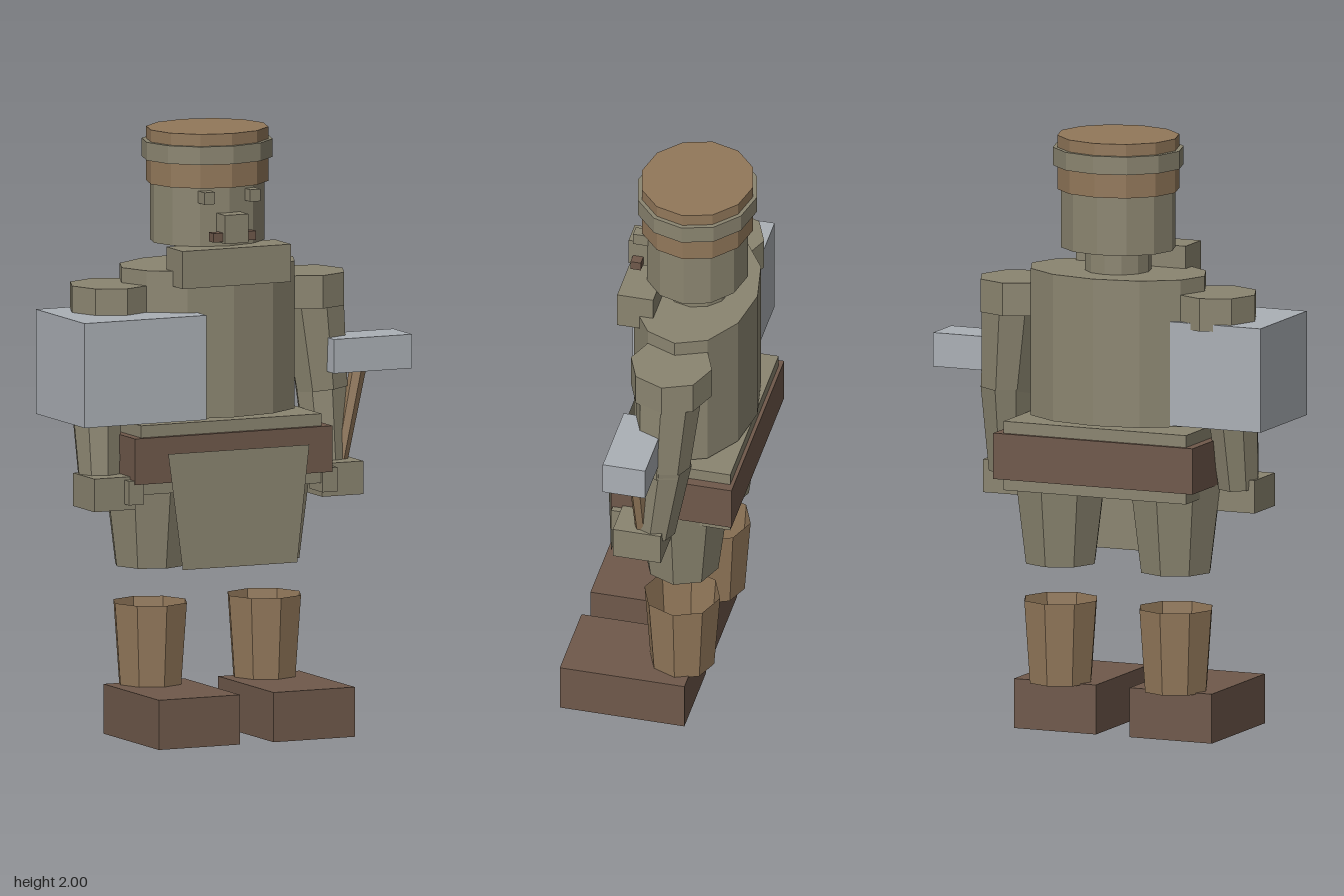
import * as THREE from 'three';

const CX = -0.053, CZ = -0.088; // body axis

export function createModel() {
  const group = new THREE.Group();
  const mat = (name, color) => {
    const m = new THREE.MeshStandardMaterial({ color, flatShading: true, side: THREE.DoubleSide });
    m.name = name;
    return m;
  };
  const olive = mat('olive', 0x8b8570);
  const tan = mat('tan', 0x92785a);
  const brown = mat('darkBrown', 0x6f594b);
  const steel = mat('steel', 0xabb0b6);

  const add = (name, geo, material) => {
    const mesh = new THREE.Mesh(geo, material);
    mesh.name = name;
    group.add(mesh);
    return mesh;
  };
  // Box given by its limits
  const box = (name, m, x0, x1, y0, y1, z0, z1) =>
    add(name, new THREE.BoxGeometry(x1 - x0, y1 - y0, z1 - z0), m)
      .position.set((x0 + x1) / 2, (y0 + y1) / 2, (z0 + z1) / 2);
  // Oval upright drum on the body axis
  const drum = (name, m, rx, rz, y0, y1) => {
    const mesh = add(name, new THREE.CylinderGeometry(rx, rx, y1 - y0, 12), m);
    mesh.scale.z = rz / rx;
    mesh.position.set(CX, (y0 + y1) / 2, CZ);
  };
  // Tapered limb from point a (top) to point b (bottom)
  const limb = (name, m, a, b, ra, rb, open = true, sides = 8) => {
    const A = new THREE.Vector3(...a), B = new THREE.Vector3(...b);
    const mesh = add(name, new THREE.CylinderGeometry(ra, rb, A.distanceTo(B), sides, 1, open), m);
    mesh.position.copy(A).add(B).multiplyScalar(0.5);
    mesh.quaternion.setFromUnitVectors(new THREE.Vector3(0, 1, 0), A.sub(B).normalize());
  };

  // Head and hat
  drum('hat', tan, 0.205, 0.188, 1.82, 2.0);
  drum('hatBand', olive, 0.22, 0.201, 1.9, 1.96);
  drum('head', olive, 0.194, 0.17, 1.625, 1.82);
  drum('neck', olive, 0.11, 0.11, 1.5, 1.64);
  box('beard', olive, -0.25, 0.146, 1.5, 1.625, 0.013, 0.135);
  box('nose', olive, -0.095, -0.01, 1.64, 1.735, 0.06, 0.135);
  box('mouth', brown, -0.13, 0.025, 1.645, 1.675, 0.085, 0.12);

  // Torso, hips and belt
  drum('torso', olive, 0.312, 0.203, 1.06, 1.55);
  box('hips', olive, -0.384, 0.274, 0.82, 1.05, -0.28, 0.1);
  box('belt', brown, -0.413, 0.306, 0.857, 1.01, -0.292, 0.116);

  // Apron panel
  const apron = new THREE.Shape([
    new THREE.Vector2(-0.31, 0.958), new THREE.Vector2(-0.257, 0.57),
    new THREE.Vector2(0.16, 0.57), new THREE.Vector2(0.204, 0.958)]);
  add('apron', new THREE.ShapeGeometry(apron), olive).position.z = 0.152;

  // Paired parts, s = +1 for the left side
  for (const s of [1, -1]) {
    const side = s > 0 ? 'left' : 'right';
    const X = (d) => CX + s * d;
    const sideBox = (name, m, d0, d1, ...rest) =>
      box(side + name, m, Math.min(X(d0), X(d1)), Math.max(X(d0), X(d1)), ...rest);

    sideBox('Eye', olive, 0.064, 0.102, 1.77, 1.81, 0.05, 0.105);

    limb(side + 'Shoulder', olive, [X(0.356), 1.5, CZ], [X(0.356), 1.39, CZ], 0.137, 0.137, false);
    limb(side + 'UpperArm', olive, [X(0.375), 1.46, CZ], [X(0.41), 1.11, -0.072], 0.115, 0.09);
    limb(side + 'Forearm', olive, [X(0.408), 1.14, -0.08], [X(0.415), 0.85, -0.045], 0.09, 0.07);
    sideBox('Hand', olive, 0.34, 0.49, 0.77, 0.88, -0.085, 0.077);
    sideBox('Thumb', olive, 0.325, 0.38, 0.79, 0.87, 0.01, 0.11);

    limb(side + 'Thigh', olive, [X(0.208), 0.86, CZ], [X(0.208), 0.56, CZ], 0.16, 0.122);
    limb(side + 'Shin', tan, [X(0.208), 0.437, CZ], [X(0.208), 0.16, CZ], 0.128, 0.108);
    sideBox('Shoe', brown, 0.061, 0.357, 0, 0.165, -0.132, 0.29);
  }

  // Shield block on the right arm
  box('shield', steel, -0.62, -0.175, 1.065, 1.412, -0.208, 0.162);

  // Hammer in the left hand
  limb('hammerHandle', tan, [0.458, 1.2, 0], [0.39, 0.84, -0.012], 0.028, 0.022, false, 6);
  box('hammerHead', steel, 0.335, 0.62, 1.175, 1.288, -0.078, 0.066);

  return group;
}
